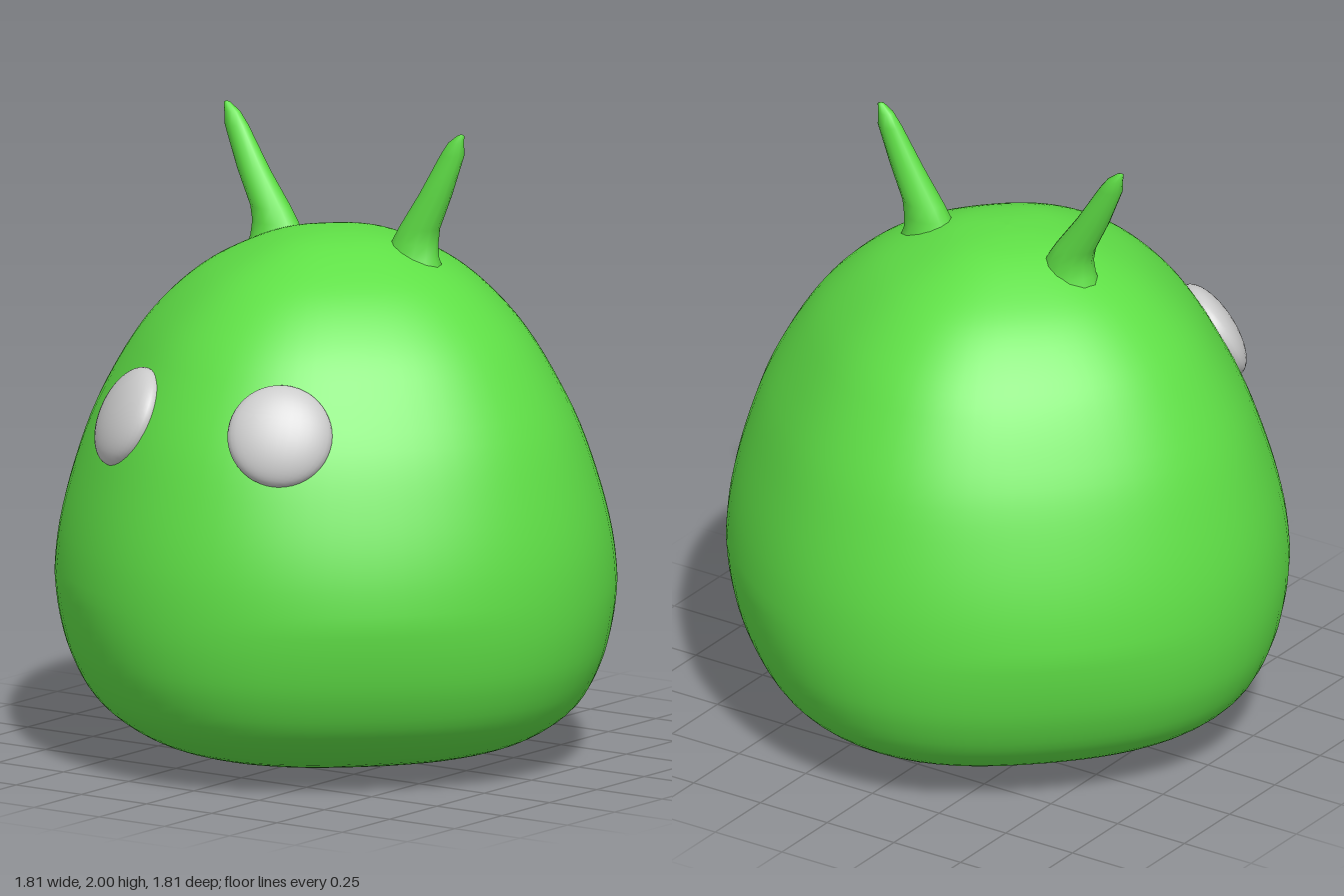
import * as THREE from 'three';

const green = new THREE.MeshStandardMaterial({ color: 0x5fdf46 });
const grey = new THREE.MeshStandardMaterial({ color: 0xcccccc });

// Smooth closed skin over stacked rings; point(i, angle) gives [x, y, z], rings run upwards
function loft(rings, sides, point) {
  const pos = [], index = [];
  for (let i = 0; i < rings; i++) {
    for (let j = 0; j < sides; j++) {
      pos.push(...point(i, (j / sides) * Math.PI * 2));
      if (i === rings - 1) continue;
      const a = i * sides + j, b = i * sides + ((j + 1) % sides);
      index.push(a, a + sides, b, b, a + sides, b + sides);
    }
  }
  const geo = new THREE.BufferGeometry();
  geo.setAttribute('position', new THREE.Float32BufferAttribute(pos, 3));
  geo.setIndex(index);
  geo.computeVertexNormals();
  return geo;
}

function addMesh(group, name, geo, mat) {
  const mesh = new THREE.Mesh(geo, mat);
  mesh.name = name;
  group.add(mesh);
  return mesh;
}

// Bell-shaped body profile: [radius, height]
const profile = [
  [0, 0.005], [0.3, 0.022], [0.52, 0.055], [0.68, 0.11], [0.8, 0.2], [0.865, 0.32],
  [0.895, 0.44], [0.905, 0.57], [0.895, 0.72], [0.855, 0.9], [0.785, 1.1], [0.67, 1.3],
  [0.58, 1.41], [0.46, 1.515], [0.34, 1.585], [0.2, 1.642], [0.09, 1.661], [0, 1.665],
];

function bodyGeometry() {
  const curve = new THREE.CatmullRomCurve3(profile.map(([r, y]) => new THREE.Vector3(r, y, 0)));
  const pts = curve.getPoints(68);
  return loft(pts.length, 72, (i, t) => {
    const { x, y } = pts[i];
    // slightly narrower across the diagonals
    const squeeze = 0.04 + 0.035 * Math.min(1, Math.abs(y - 0.57) / 0.6);
    const r = Math.max(x, 0.0005) * (1 - squeeze * Math.sin(2 * t) ** 2);
    return [r * Math.cos(t), y, r * Math.sin(t)];
  });
}

// Antenna rings: [x, y, z, half width, half depth]
const antenna = [
  [0.26, 1.54, -0.045, 0.11, 0.09], [0.26, 1.6, -0.045, 0.088, 0.07],
  [0.268, 1.645, -0.05, 0.078, 0.06], [0.283, 1.69, -0.052, 0.068, 0.054],
  [0.34, 1.8, -0.058, 0.055, 0.043], [0.397, 1.93, -0.068, 0.04, 0.031],
  [0.41, 1.97, -0.07, 0.026, 0.022], [0.428, 1.995, -0.07, 0.011, 0.01],
  [0.43, 2.0, -0.07, 0.0005, 0.0005],
];

function antennaGeometry(side) {
  return loft(antenna.length, 12, (i, t) => {
    const [x, y, z, w, d] = antenna[i];
    // the right one leans out a little further
    const lean = side < 0 ? 0.04 * THREE.MathUtils.clamp((y - 1.65) / 0.33, 0, 1) : 0;
    return [side * (x + lean) + w * Math.cos(t), y, z + d * Math.sin(t)];
  });
}

export function createModel() {
  const model = new THREE.Group();
  model.name = 'creature';
  addMesh(model, 'body', bodyGeometry(), green);

  for (const side of [1, -1]) {
    const label = side > 0 ? 'left' : 'right';
    addMesh(model, label + 'Antenna', antennaGeometry(side), green);

    // Flattened round eye lying on the curve of the body
    const eye = addMesh(model, label + 'Eye', new THREE.SphereGeometry(0.163, 32, 24), grey);
    eye.scale.z = 0.43;
    if (side > 0) eye.position.set(0.275, 1.148, 0.675);
    else eye.position.set(-0.33, 1.133, 0.643);
    const outward = new THREE.Vector3(side * 0.51, 0.44, 0.74).normalize();
    eye.quaternion.setFromUnitVectors(new THREE.Vector3(0, 0, 1), outward);
  }
  return model;
}
